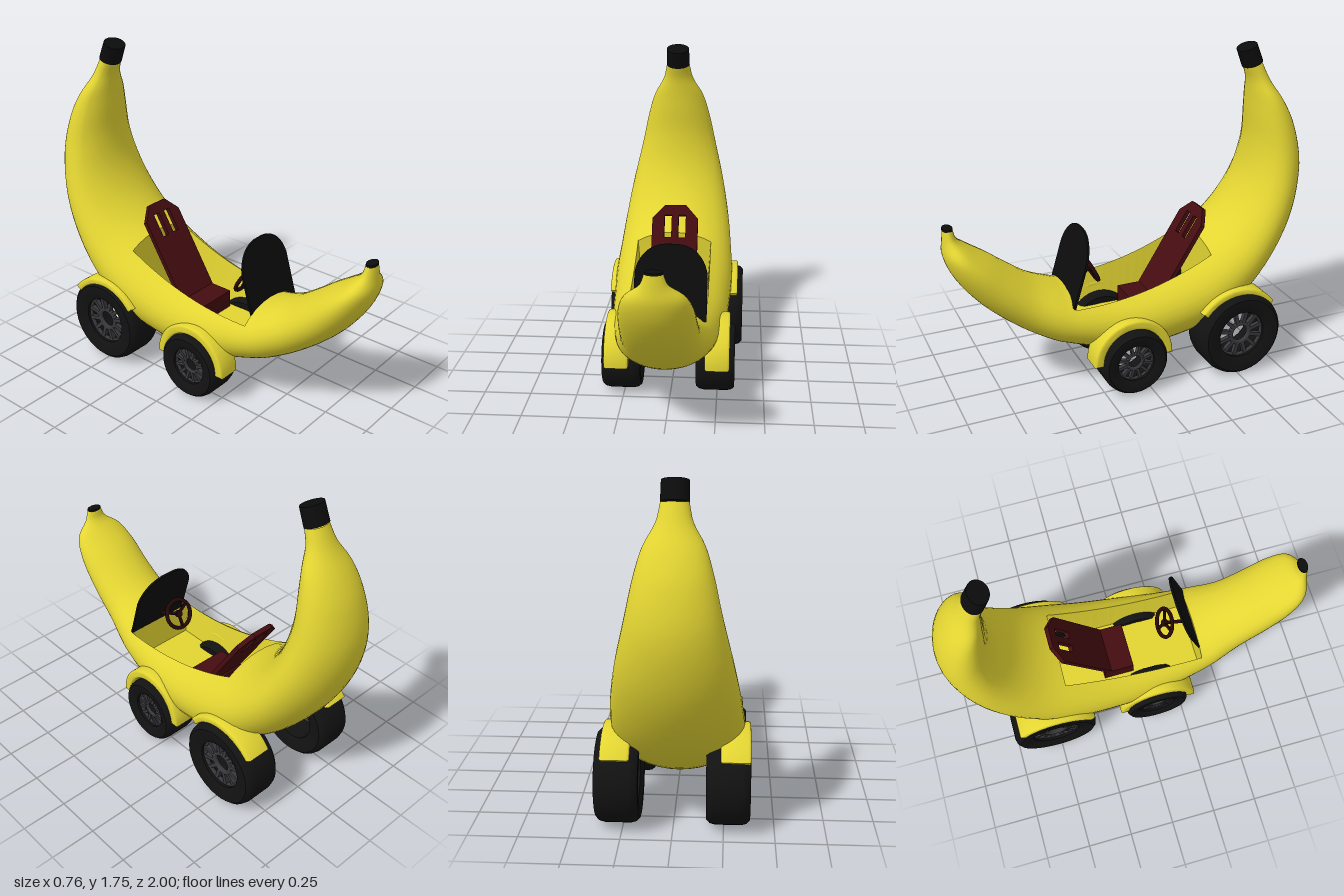
import * as THREE from 'three';
import { toCreasedNormals } from 'three/addons/utils/BufferGeometryUtils.js';

const mat = (name, color, side = THREE.FrontSide) => {
  const m = new THREE.MeshStandardMaterial({ color, side });
  m.name = name;
  return m;
};

export function createModel() {
  const yellow = mat('banana yellow', 0xe3d532, THREE.DoubleSide);
  const black = mat('black', 0x0c0c0c);
  const rubber = mat('tyre black', 0x121212);
  const metal = mat('dark metal', 0x38383c);
  const maroon = mat('seat maroon', 0x450c10);
  const darkRed = mat('steering dark red', 0x260809);

  const model = new THREE.Group();
  model.name = 'bananaCar';
  const CX = -0.018; // body centre line
  const add = (parent, name, geo, material, x = 0, y = 0, z = 0) => {
    const m = new THREE.Mesh(geo, material);
    m.name = name;
    m.position.set(x, y, z);
    parent.add(m);
    return m;
  };

  // Body stations, nose to stem: inner z, inner y, outer z, outer y, half width
  const stations = [
    [0.945, 0.97, 0.995, 0.97, 0.042], [0.93, 0.92, 1.0, 0.9, 0.065], [0.87, 0.865, 1.0, 0.82, 0.14],
    [0.76, 0.79, 0.955, 0.705, 0.175], [0.66, 0.715, 0.83, 0.54, 0.187], [0.55, 0.64, 0.64, 0.375, 0.2],
    [0.44, 0.59, 0.47, 0.27, 0.235], [0.38, 0.57, 0.38, 0.235, 0.25], [0.2, 0.56, 0.2, 0.182, 0.28],
    [0, 0.58, 0, 0.155, 0.31], [-0.2, 0.635, -0.2, 0.165, 0.325], [-0.4, 0.72, -0.42, 0.225, 0.335],
    [-0.52, 0.8, -0.62, 0.35, 0.325], [-0.62, 0.91, -0.8, 0.55, 0.305], [-0.69, 1.05, -0.94, 0.8, 0.27],
    [-0.72, 1.22, -1.0, 1.07, 0.22], [-0.715, 1.38, -0.965, 1.29, 0.178], [-0.71, 1.48, -0.9, 1.43, 0.14],
    [-0.7, 1.56, -0.82, 1.55, 0.085], [-0.675, 1.63, -0.77, 1.65, 0.065],
  ];
  const inner = new THREE.CatmullRomCurve3(stations.map(s => new THREE.Vector3(s[4], s[1], s[0])));
  const outer = new THREE.CatmullRomCurve3(stations.map(s => new THREE.Vector3(s[4], s[3], s[2])));
  const SUB = 4, RINGS = (stations.length - 1) * SUB, TOP = 8, SIDE = 32, N = TOP + SIDE;
  const open0 = 7 * SUB, open1 = 11 * SUB; // cockpit opening

  // The first TOP segments of each ring span the deck, the rest the hull
  const ring = i => {
    const a = inner.getPoint(i / RINGS), b = outer.getPoint(i / RINGS);
    const rim = Math.asin(Math.min(0.21 / a.x, 0.84));
    return Array.from({ length: N }, (_, j) => {
      const t = j <= TOP ? -rim + 2 * rim * j / TOP : rim + (2 * Math.PI - 2 * rim) * (j - TOP) / SIDE;
      const k = (1 + Math.cos(t)) / 2;
      return [CX + a.x * Math.sin(t), b.y + (a.y - b.y) * k, b.z + (a.z - b.z) * k];
    });
  };
  const rings = Array.from({ length: RINGS + 1 }, (_, i) => ring(i));
  const index = [];
  for (let i = 0; i < RINGS; i++) {
    for (let j = 0; j < N; j++) {
      if (j < TOP && i >= open0 && i < open1) continue;
      const a = i * N + j, b = i * N + (j + 1) % N;
      index.push(a, b, a + N, b, b + N, a + N);
    }
  }
  const hull = new THREE.BufferGeometry();
  hull.setAttribute('position', new THREE.Float32BufferAttribute(rings.flat(2), 3));
  hull.setIndex(index);
  hull.computeVertexNormals();
  add(model, 'bananaBody', hull, yellow);

  // Cockpit tub: floor, side walls and end bulkheads
  const tri = [];
  const quad = (a, b, c, d) => tri.push(a, b, c, a, c, d);
  const FLOOR = 0.31;
  const section = i => {
    const l = rings[i][TOP], r = rings[i][0];
    return [l, [CX + 0.185, FLOOR, l[2]], [CX - 0.185, FLOOR, r[2]], r];
  };
  for (let i = open0; i < open1; i++) {
    const p = section(i), q = section(i + 1);
    for (let k = 0; k < 3; k++) quad(p[k], q[k], q[k + 1], p[k + 1]);
  }
  for (const [i, flip] of [[open0, false], [open1, true]]) {
    const s = section(i), loop = [s[1], ...rings[i].slice(0, TOP + 1).reverse(), s[2]];
    for (let k = 1; k < loop.length - 1; k++) {
      if (flip) tri.push(loop[0], loop[k + 1], loop[k]);
      else tri.push(loop[0], loop[k], loop[k + 1]);
    }
  }
  const tub = new THREE.BufferGeometry();
  tub.setAttribute('position', new THREE.Float32BufferAttribute(tri.flat(), 3));
  tub.computeVertexNormals();
  add(model, 'cockpitTub', tub, yellow);

  // Dark stem and nose tip
  const stem = add(model, 'stem', new THREE.CylinderGeometry(0.064, 0.066, 0.1, 24), black, CX, 1.685, -0.705);
  stem.rotation.x = 0.38;
  stem.scale.z = 0.85;
  add(model, 'noseTip', new THREE.CylinderGeometry(0.042, 0.043, 0.012, 20), black, CX, 0.972, 0.97).scale.z = 0.62;

  // Seat with a slotted, reclined back
  const seat = new THREE.Group();
  seat.name = 'seat';
  model.add(seat);
  const poly = pts => pts.map(p => new THREE.Vector2(...p));
  const back = new THREE.Shape(poly([[-0.13, 0], [0.13, 0], [0.13, 0.47], [0.06, 0.55], [-0.06, 0.55], [-0.13, 0.47]]));
  for (const x of [-0.04, 0.04]) {
    back.holes.push(new THREE.Path(poly([[x - 0.02, 0.36], [x - 0.02, 0.49], [x + 0.02, 0.49], [x + 0.02, 0.36]])));
  }
  const backGeo = new THREE.ExtrudeGeometry(back, { depth: 0.025, bevelEnabled: false });
  add(seat, 'seatBack', backGeo, maroon, -0.012, 0.4, -0.145).rotation.x = -0.56;
  add(seat, 'seatCushion', new THREE.BoxGeometry(0.26, 0.1, 0.17), maroon, -0.012, 0.36, -0.08);

  // Windshield
  const glass = new THREE.Shape();
  glass.moveTo(-0.185, 0);
  glass.lineTo(0.185, 0);
  glass.lineTo(0.185, 0.24);
  glass.bezierCurveTo(0.17, 0.33, 0.11, 0.385, 0.03, 0.39);
  glass.lineTo(-0.03, 0.39);
  glass.bezierCurveTo(-0.11, 0.385, -0.17, 0.33, -0.185, 0.24);
  const glassGeo = new THREE.ExtrudeGeometry(glass, { depth: 0.012, bevelEnabled: false });
  add(model, 'windshield', glassGeo, black, 0.012, 0.5, 0.38).rotation.x = -0.285;

  // Steering wheel; local +z points at the driver
  const steering = new THREE.Group();
  steering.name = 'steeringWheel';
  steering.position.set(-0.012, 0.62, 0.22);
  steering.rotation.set(0.46, Math.PI, 0, 'XYZ');
  model.add(steering);
  add(steering, 'steeringRim', new THREE.TorusGeometry(0.08, 0.011, 8, 28), darkRed);
  for (let k = 0; k < 3; k++) {
    const spoke = add(steering, 'steeringSpoke', new THREE.BoxGeometry(0.016, 0.08, 0.01).translate(0, 0.04, 0), darkRed);
    spoke.rotation.z = Math.PI + k * Math.PI * 2 / 3;
  }
  add(steering, 'steeringHub', new THREE.CylinderGeometry(0.02, 0.02, 0.02, 16).rotateX(Math.PI / 2), darkRed);
  add(steering, 'steeringColumn', new THREE.CylinderGeometry(0.01, 0.01, 0.18, 10).rotateX(Math.PI / 2), darkRed, 0, 0, -0.09);

  // Wheels: hollow tyre, open hub and spokes
  const wheel = (name, r, w, side, x, z) => {
    const g = new THREE.Group();
    g.name = name;
    g.position.set(x, r, z);
    g.rotation.y = side > 0 ? 0 : Math.PI;
    model.add(g);
    const h = w / 2, ri = r * 0.56;
    const profile = poly([[ri, -h * 0.85], [r * 0.72, -h], [r * 0.9, -h], [r * 0.97, -h * 0.85], [r, -h * 0.6],
      [r, h * 0.6], [r * 0.97, h * 0.85], [r * 0.9, h], [r * 0.72, h], [ri, h * 0.85], [ri, -h * 0.85]]);
    const tyre = new THREE.LatheGeometry(profile, 40).rotateZ(-Math.PI / 2);
    add(g, 'tyre', toCreasedNormals(tyre, 0.6), rubber);
    const ringAt = (n, radius, tube) =>
      add(g, n, new THREE.TorusGeometry(radius, tube, 8, 32).rotateY(Math.PI / 2), metal, h * 0.6);
    ringAt('rim', ri, r * 0.05);
    ringAt('hub', r * 0.24, r * 0.06);
    for (let k = 0; k < 12; k++) {
      const geo = new THREE.BoxGeometry(0.025, r * 0.34, r * 0.085).translate(0, r * 0.4, 0);
      add(g, 'wheelSpoke', geo, metal, h * 0.6).rotation.x = (k + 0.5) * Math.PI / 6;
    }
  };

  // Arched fender between two angles
  const fender = (name, side, r0, r1, from, to, x0, x1, y, z) => {
    const s = new THREE.Shape();
    s.absarc(0, 0, r1 - 0.012, from, to, false);
    s.absarc(0, 0, r0 + 0.012, to, from, true);
    const geo = new THREE.ExtrudeGeometry(s, { depth: x1 - x0 - 0.024, bevelThickness: 0.012, bevelSize: 0.012, bevelSegments: 3, curveSegments: 28 });
    geo.translate(0, 0, -(x1 - x0) / 2 + 0.012).rotateY(Math.PI / 2);
    add(model, name, toCreasedNormals(geo, 0.7), yellow, CX * 0.8 + side * (x0 + x1) / 2, y, z);
  };

  for (const side of [1, -1]) {
    const s = side > 0 ? 'left' : 'right';
    wheel(s + 'FrontWheel', 0.183, 0.205, side, -0.01 + side * 0.25, 0.095);
    wheel(s + 'RearWheel', 0.238, 0.215, side, side * 0.272, -0.515);
    fender(s + 'FrontFender', side, 0.172, 0.222, 0.02, Math.PI - 0.02, 0.2, 0.33, 0.203, 0.1);
    fender(s + 'RearFender', side, 0.228, 0.268, 0.68, Math.PI - 0.68, 0.22, 0.365, 0.238, -0.5);
  }
  return model;
}
